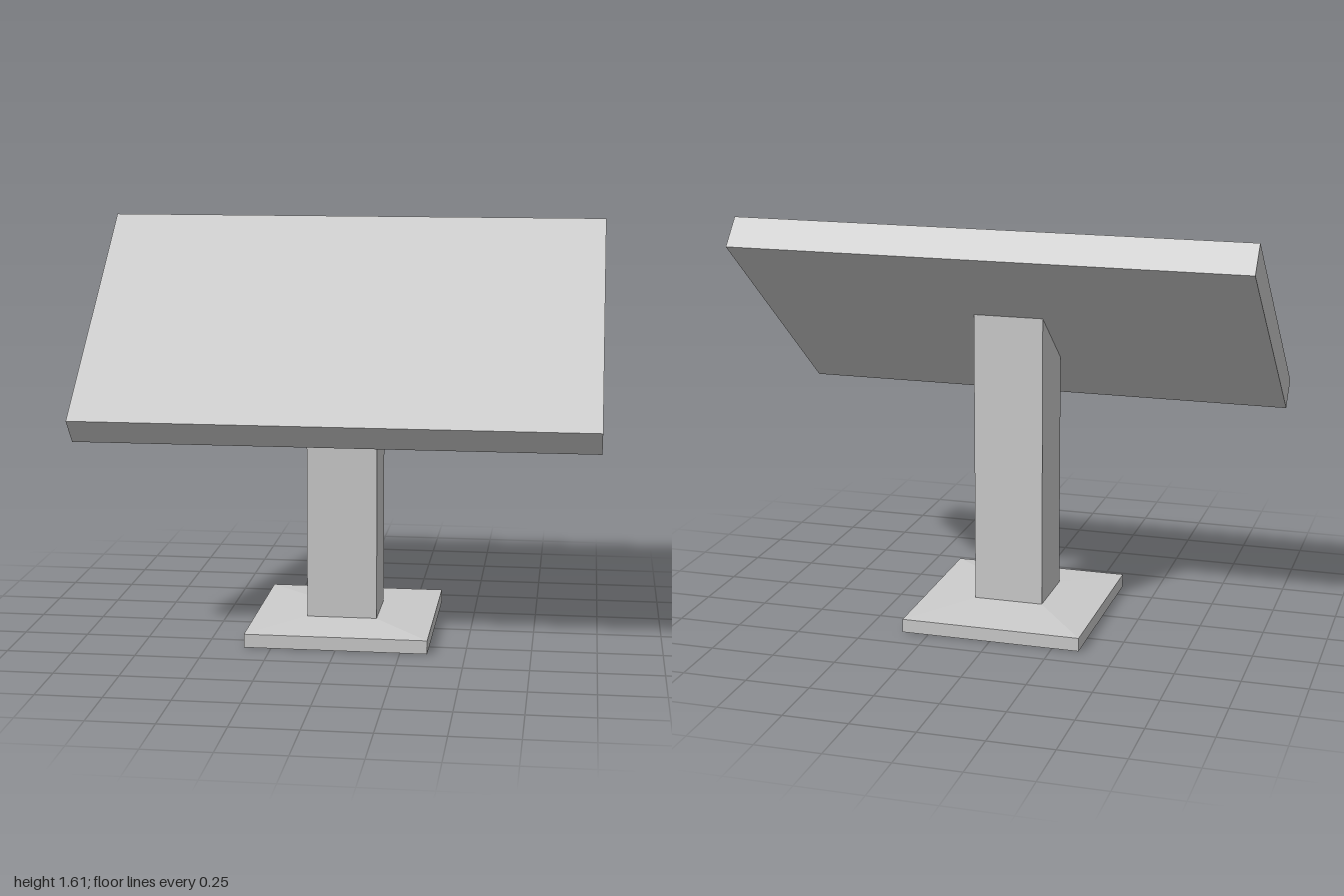
import * as THREE from 'three';

const material = new THREE.MeshStandardMaterial({ color: 0xcccccc, flatShading: true });

function part(name, geometry) {
  const mesh = new THREE.Mesh(geometry, material);
  mesh.name = name;
  return mesh;
}

// Side profile of [z, y] corners, extruded across x and centred on x = 0
function sideProfile(corners, width) {
  const shape = new THREE.Shape(corners.map(([z, y]) => new THREE.Vector2(-z, y)));
  const geometry = new THREE.ExtrudeGeometry(shape, { depth: width, bevelEnabled: false });
  return geometry.translate(0, 0, -width / 2).rotateY(Math.PI / 2);
}

// Box whose top face is pulled in to a smaller rectangle
function taperedBox(bottom, top, y0, y1) {
  const geometry = new THREE.BoxGeometry(1, 1, 1);
  const p = geometry.attributes.position;
  for (let i = 0; i < p.count; i++) {
    const upper = p.getY(i) > 0;
    const r = upper ? top : bottom;
    p.setXYZ(i,
      p.getX(i) > 0 ? r.x1 : r.x0,
      upper ? y1 : y0,
      p.getZ(i) > 0 ? r.z1 : r.z0);
  }
  geometry.computeVertexNormals();
  return geometry;
}

export function createModel() {
  const group = new THREE.Group();
  group.name = 'tiltedPanelStand';

  // Square foot with a shallow sloped top rising to the post
  const foot = { x0: -0.355, x1: 0.355, z0: -0.39, z1: 0.345 };
  const neck = { x0: -0.138, x1: 0.138, z0: -0.133, z1: 0.137 };
  group.add(part('basePlate', taperedBox(foot, foot, 0, 0.053)));
  group.add(part('baseSlope', taperedBox(foot, neck, 0.053, 0.073)));

  // Post, cut at the top to the tilt of the panel and sunk slightly into it
  group.add(part('post', sideProfile(
    [[0.135, 0.06], [-0.131, 0.06], [-0.131, 1.25], [0.135, 1.037]], 0.275)));

  // Thick tilted panel
  group.add(part('panel', sideProfile(
    [[0.485, 0.9], [0.4, 0.805], [-0.483, 1.51], [-0.393, 1.61]], 2)));

  return group;
}
